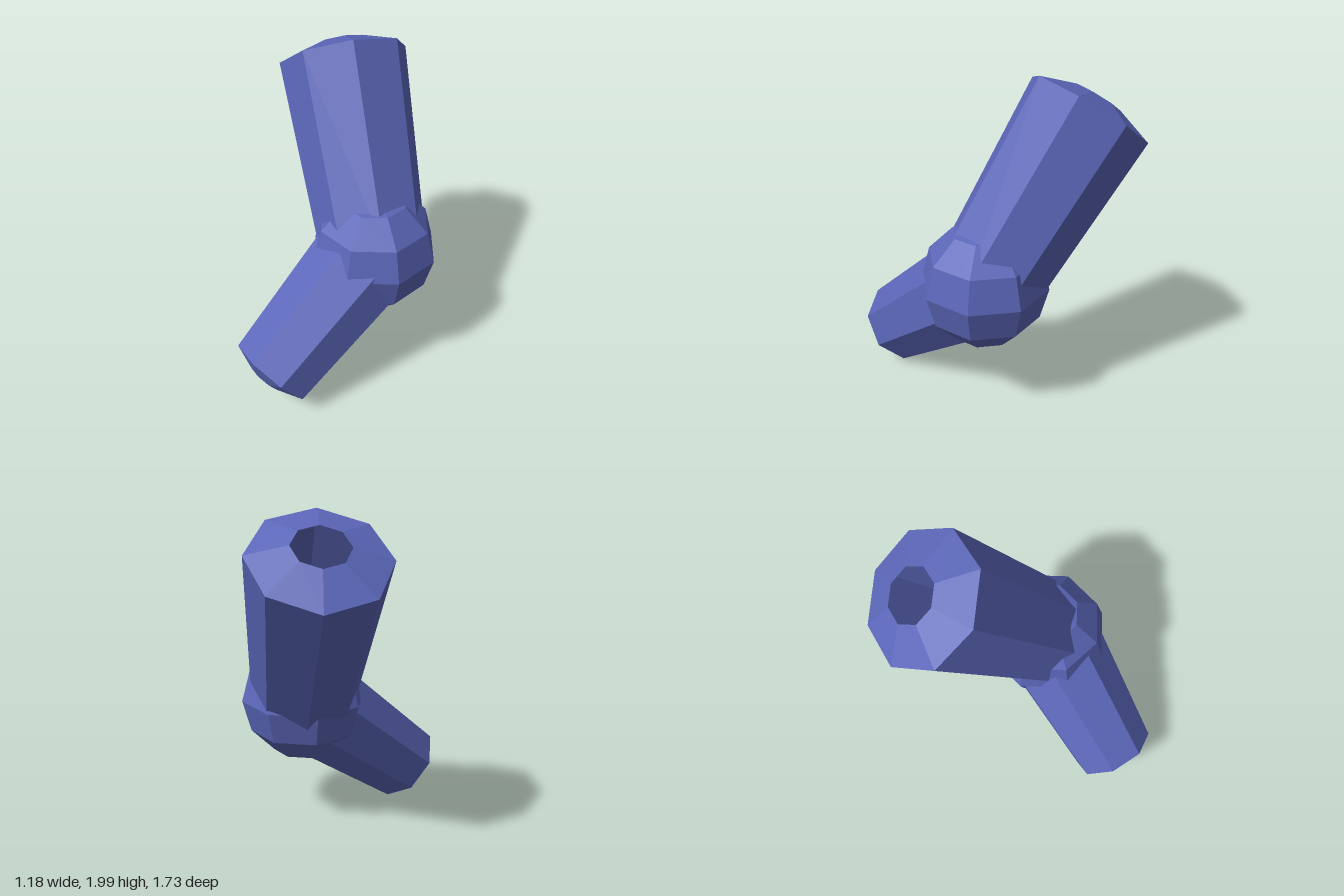
import * as THREE from 'three';

const SIDES = 8;
const material = new THREE.MeshStandardMaterial({
  color: 0x5b66b8, flatShading: true, side: THREE.DoubleSide,
});

// Tapered eight-sided tube from the joint to `end`, with a slightly domed, pierced end cap.
// `corner` points from the axis towards one corner of the tube.
function limb(name, joint, end, corner, jointRadius, endRadius, holeRadius, bulge) {
  const axis = end.clone().sub(joint);
  const length = axis.length();
  axis.normalize();
  const side = new THREE.Vector3().crossVectors(axis, corner).normalize();
  const front = new THREE.Vector3().crossVectors(side, axis);

  const profile = [
    new THREE.Vector2(jointRadius, 0),
    new THREE.Vector2(endRadius, length),
    new THREE.Vector2(holeRadius, length + bulge),
  ];
  const geometry = new THREE.LatheGeometry(profile, SIDES);
  geometry.applyMatrix4(new THREE.Matrix4().makeBasis(side, axis, front).setPosition(joint));
  const mesh = new THREE.Mesh(geometry, material);
  mesh.name = name;
  return mesh;
}

export function createModel() {
  const model = new THREE.Group();
  model.name = 'bentLimb';
  const joint = new THREE.Vector3(0.2, 0.81, 0);

  // Faceted ball joint
  const ball = new THREE.Mesh(new THREE.SphereGeometry(0.39, SIDES, 6), material);
  ball.name = 'jointBall';
  ball.position.copy(joint);
  model.add(ball);

  // Thicker upper segment, leaning back and to the right
  model.add(limb('upperSegment', joint, new THREE.Vector3(-0.24, 1.775, -0.515),
    new THREE.Vector3(0.35, 0.175, 0.02), 0.33, 0.392, 0.16, 0.08));

  // Thinner lower segment, reaching forward and down
  model.add(limb('lowerSegment', joint, new THREE.Vector3(-0.167, 0.212, 0.678),
    new THREE.Vector3(-0.013, 0.208, 0.172), 0.33, 0.27, 0.11, 0.066));

  return model;
}
